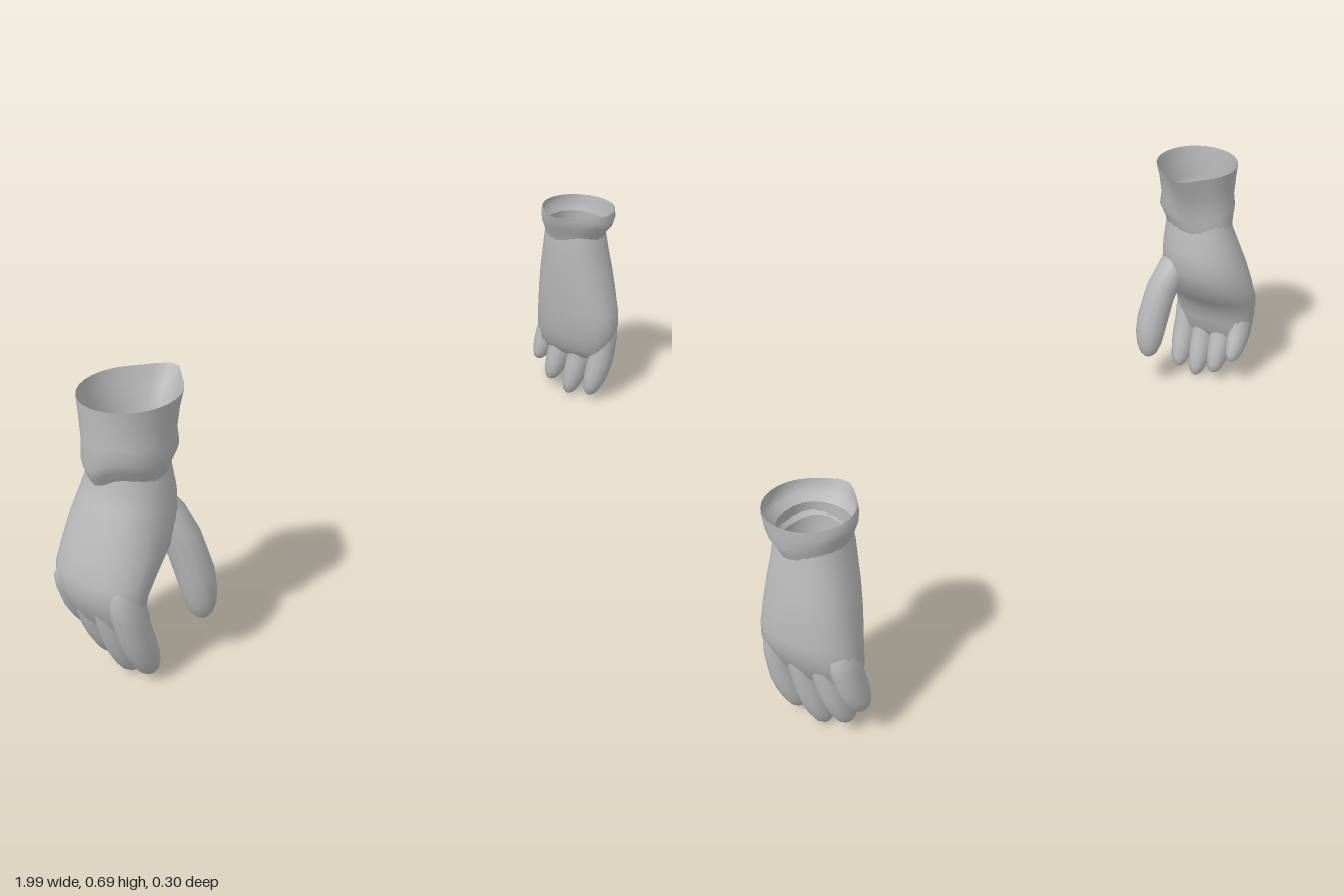
import * as THREE from 'three';

const grey = new THREE.MeshStandardMaterial({ color: 0xbcbcbc, side: THREE.DoubleSide });
grey.name = 'light grey';

// Smooth skin over horizontal rings listed from top to bottom: [y, centreX, centreZ, radiusX, radiusZ]
function loft(name, rings, { sides = 20, power = 1, warp } = {}) {
  const pos = [], index = [];
  const bend = (v) => Math.sign(v) * Math.abs(v) ** power;
  rings.forEach(([y, cx, cz, rx, rz], i) => {
    for (let j = 0; j < sides; j++) {
      const a = (j / sides) * Math.PI * 2;
      const p = new THREE.Vector3(cx + rx * bend(Math.cos(a)), y, cz + rz * bend(Math.sin(a)));
      if (warp) warp(p, a, i);
      pos.push(p.x, p.y, p.z);
      if (i < rings.length - 1) {
        const k = (j + 1) % sides, r = i * sides, s = r + sides;
        index.push(r + j, r + k, s + j, r + k, s + k, s + j);
      }
    }
  });
  const geo = new THREE.BufferGeometry();
  geo.setAttribute('position', new THREE.Float32BufferAttribute(pos, 3));
  geo.setIndex(index);
  geo.computeVertexNormals();
  const mesh = new THREE.Mesh(geo, grey);
  mesh.name = name;
  return mesh;
}

// Digit along a curve from knuckle to tip, slightly waisted, with a rounded end
function digit(name, points, rx, rz) {
  const curve = new THREE.CatmullRomCurve3(points.map((p) => new THREE.Vector3(...p)));
  const profile = [[0, 0.7], [0.12, 1], [0.3, 1.03], [0.45, 0.97], [0.6, 0.98], [0.75, 0.9],
    [0.87, 0.76], [0.95, 0.55], [0.99, 0.3], [1, 0.02]];
  const rings = profile.map(([t, s]) => {
    const p = curve.getPoint(t);
    return [p.y, p.x, p.z, rx * s, rz * s];
  });
  return loft(name, rings, { sides: 12 });
}

// Open cuff: a pleat flares inward at the rim, and a fold hangs on the outer side
function cuff(rings, inward, flare) {
  return loft('cuff', rings, {
    sides: 28,
    warp(p, a, i) {
      const inner = Math.max(0, inward * Math.cos(a + 0.12 * inward)) ** 14;
      const outer = Math.max(0, -inward * Math.cos(a - 0.25)) ** 10;
      const t = Math.max(0, 1 - i / 3);
      p.x += inward * flare * inner * t;
      if (i >= rings.length - 3) p.y -= 0.025 * outer;
      if (i > 0) p.y += 0.006 * Math.sin(a * 3);
    },
  });
}

function leftHand() {
  const hand = new THREE.Group();
  hand.name = 'leftHand';
  hand.add(cuff([
    [0.583, 0.893, 0.018, 0.098, 0.102], [0.565, 0.893, 0.017, 0.096, 0.106],
    [0.547, 0.893, 0.016, 0.094, 0.102], [0.527, 0.893, 0.012, 0.086, 0.09],
    [0.5, 0.893, 0.01, 0.076, 0.08],
  ], -1, 0.016));
  hand.add(loft('palm', [
    [0.54, 0.893, 0.01, 0.076, 0.078], [0.5, 0.894, 0.011, 0.079, 0.086],
    [0.45, 0.899, 0.012, 0.082, 0.094], [0.4, 0.905, 0.013, 0.084, 0.104],
    [0.34, 0.91, 0.016, 0.083, 0.114], [0.28, 0.914, 0.02, 0.08, 0.122],
    [0.24, 0.915, 0.021, 0.074, 0.125], [0.2, 0.911, 0.018, 0.06, 0.12],
    [0.16, 0.908, 0.014, 0.044, 0.108], [0.13, 0.907, 0.012, 0.02, 0.08],
    [0.125, 0.907, 0.012, 0.001, 0.001],
  ], { power: 0.88 }));
  // [name, knuckle z, middle z, tip z, tip y]
  const fingers = [
    ['indexFinger', 0.1, 0.103, 0.085, 0.018], ['middleFinger', 0.04, 0.034, 0.014, 0.002],
    ['ringFinger', -0.02, -0.03, -0.048, 0.03], ['littleFinger', -0.068, -0.081, -0.092, 0.083],
  ];
  for (const [name, z0, z1, z2, y] of fingers) {
    hand.add(digit(name, [[0.93, 0.27, z0], [0.922, 0.135 + y * 0.5, z1], [0.9, y, z2]],
      0.042, name === 'littleFinger' ? 0.031 : 0.036));
  }
  return hand;
}

function rightHand() {
  const hand = new THREE.Group();
  hand.name = 'rightHand';
  hand.add(cuff([
    [0.692, -0.845, 0.016, 0.115, 0.111], [0.65, -0.85, 0.015, 0.108, 0.105],
    [0.6, -0.855, 0.015, 0.103, 0.1], [0.565, -0.855, 0.014, 0.105, 0.104],
    [0.535, -0.852, 0.006, 0.094, 0.095], [0.505, -0.847, 0, 0.08, 0.092],
  ], 1, 0.035));
  hand.add(loft('palm', [
    [0.56, -0.848, 0.004, 0.082, 0.085], [0.5, -0.846, 0, 0.084, 0.096],
    [0.45, -0.85, -0.006, 0.098, 0.108], [0.39, -0.862, -0.013, 0.108, 0.12],
    [0.33, -0.882, -0.02, 0.104, 0.126], [0.28, -0.911, -0.024, 0.087, 0.126],
    [0.24, -0.926, -0.025, 0.072, 0.121], [0.2, -0.926, -0.026, 0.058, 0.115],
    [0.16, -0.922, -0.027, 0.042, 0.103], [0.13, -0.92, -0.027, 0.02, 0.08],
    [0.125, -0.92, -0.027, 0.001, 0.001],
  ], { power: 0.94 }));
  const fingers = [
    ['indexFinger', 0.058, 0.062, 0.06, 0.018], ['middleFinger', 0.002, 0.003, 0.004, 0.004],
    ['ringFinger', -0.056, -0.056, -0.054, 0.03], ['littleFinger', -0.106, -0.111, -0.11, 0.083],
  ];
  for (const [name, z0, z1, z2, y] of fingers) {
    hand.add(digit(name, [[-0.945, 0.27, z0], [-0.922, 0.135 + y * 0.5, z1], [-0.88, y, z2]],
      0.044, name === 'littleFinger' ? 0.031 : 0.035));
  }
  // Thumb stands clear of the fingers
  hand.add(digit('thumb', [[-0.81, 0.44, 0.03], [-0.775, 0.32, 0.072], [-0.752, 0.21, 0.09],
    [-0.742, 0.108, 0.092]], 0.046, 0.046));
  return hand;
}

export function createModel() {
  const model = new THREE.Group();
  model.name = 'pairOfHands';
  model.add(leftHand(), rightHand());
  return model;
}
